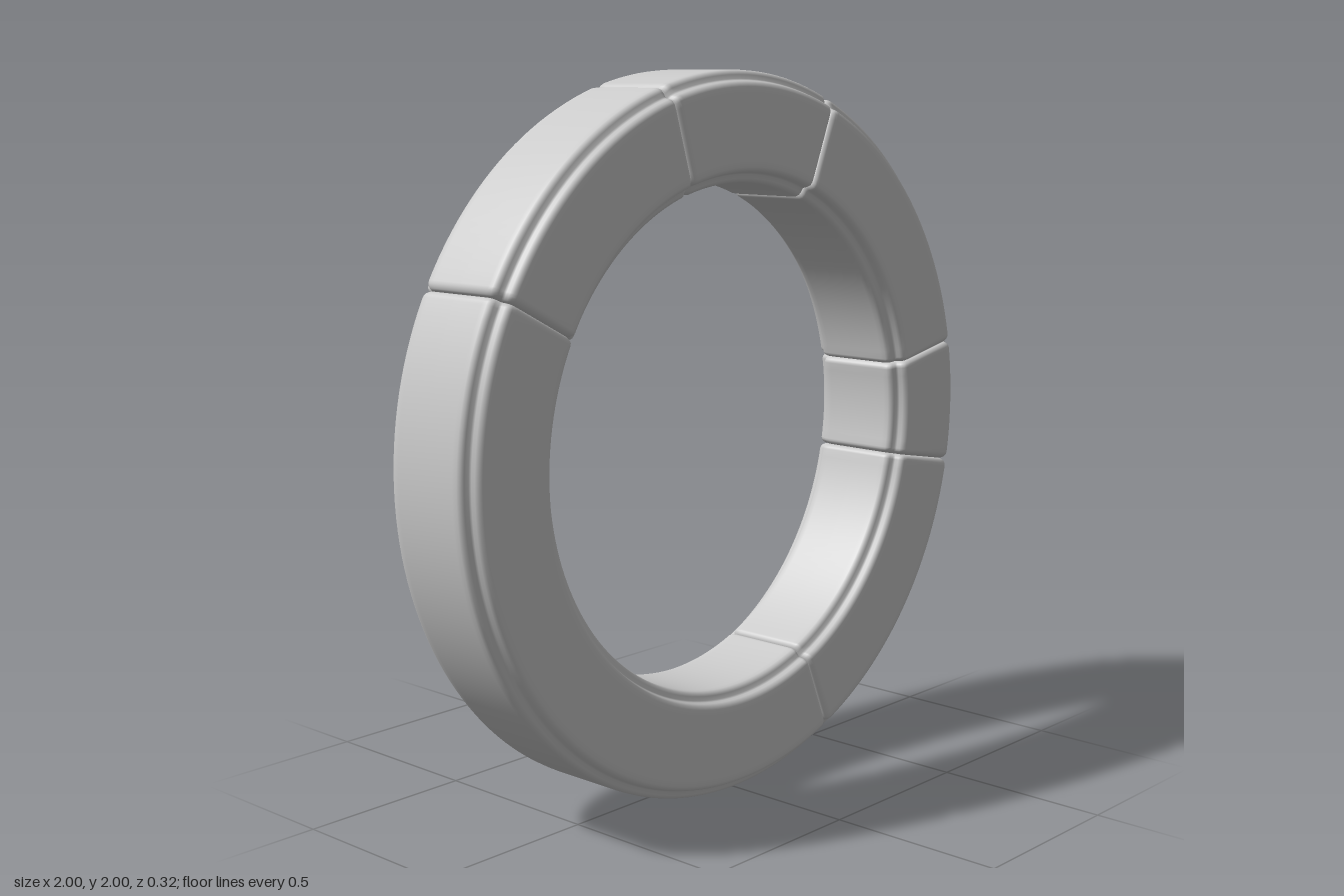
import * as THREE from 'three';

const MID_RADIUS = 0.85; // centre line of the ring's cross-section
const HALF_WIDTH = 0.15;
const HALF_DEPTH = 0.162;
const CREASE = 0.02; // how far each segment pulls in at its ends
const FILLET = 0.02; // arc length over which it pulls in

// Joint angles in degrees, anticlockwise from +x
const JOINTS = [-67.5, -11, 11, 67.5, 106.5, 152, 292.5];

// One quarter of the section (radial, depth): wall, soft step, raised face
const QUARTER = [
  [0.15, 0], [0.15, 0.1], [0.149, 0.115], [0.145, 0.124], [0.137, 0.129],
  [0.126, 0.132], [0.122, 0.138], [0.12, 0.148], [0.115, 0.157],
  [0.106, 0.161], [0.09, HALF_DEPTH], [0, HALF_DEPTH],
];

// Mirror the quarter into a closed anticlockwise loop
function sectionLoop() {
  const half = [...QUARTER, ...QUARTER.slice(0, -1).reverse().map(([r, z]) => [-r, z])];
  return [...half, ...half.slice(1, -1).reverse().map(([r, z]) => [r, -z])];
}

// Sweep the section along an arc, rounding it inward towards both joints
function segmentGeometry(start, end) {
  const loop = sectionLoop();
  const n = loop.length;
  const fillet = FILLET / MID_RADIUS;
  const stations = [];
  const ease = [0, 0.08, 0.2, 0.4, 0.65, 1];
  const pullIn = (t) => CREASE * (1 - Math.sqrt(1 - (1 - t) ** 2));
  for (const t of ease) stations.push([start + fillet * t, pullIn(t)]);
  const a0 = start + fillet, a1 = end - fillet;
  const steps = Math.ceil((a1 - a0) / THREE.MathUtils.degToRad(2));
  for (let i = 1; i < steps; i++) stations.push([a0 + ((a1 - a0) * i) / steps, 0]);
  for (const t of [...ease].reverse()) stations.push([end - fillet * t, pullIn(t)]);

  const positions = [], index = [];
  stations.forEach(([angle, inset], i) => {
    for (let j = 0; j < n; j++) {
      const r = MID_RADIUS + loop[j][0] * (1 - inset / HALF_WIDTH);
      const z = loop[j][1] * (1 - inset / HALF_DEPTH);
      positions.push(Math.cos(angle) * r, 1 + Math.sin(angle) * r, z);
      if (i === stations.length - 1) continue;
      const a = i * n + j, b = i * n + ((j + 1) % n);
      index.push(a, a + n, b, b, a + n, b + n);
    }
  });
  const geometry = new THREE.BufferGeometry();
  geometry.setAttribute('position', new THREE.Float32BufferAttribute(positions, 3));
  geometry.setIndex(index);
  geometry.computeVertexNormals();
  return geometry;
}

export function createModel() {
  const group = new THREE.Group();
  group.name = 'segmentedRing';
  const material = new THREE.MeshStandardMaterial({ color: 0xcccccc, side: THREE.DoubleSide });
  const names = ['lowerLeft', 'left', 'upperLeft', 'top', 'upperRight', 'lowerRight'];
  names.forEach((name, i) => {
    const [start, end] = [JOINTS[i], JOINTS[i + 1]].map(THREE.MathUtils.degToRad);
    const mesh = new THREE.Mesh(segmentGeometry(start, end), material);
    mesh.name = `${name}Segment`;
    group.add(mesh);
  });
  return group;
}
